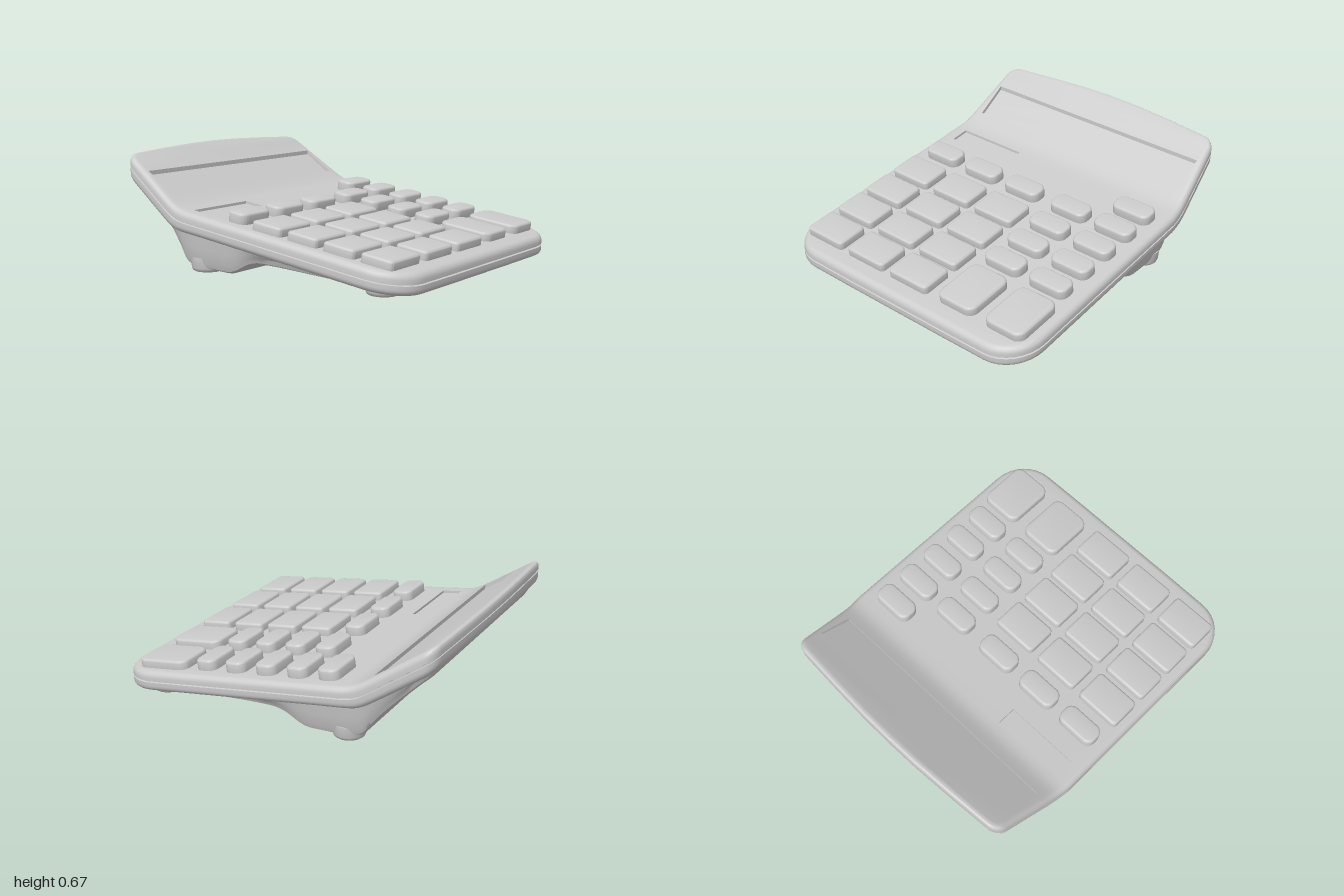
import * as THREE from 'three';
import { toCreasedNormals } from 'three/addons/utils/BufferGeometryUtils.js';

const SLOPE = 0.127, THICK = 0.12, ROUND = 0.035;
const { lerp, clamp, mapLinear } = THREE.MathUtils;

// height of the case's top surface: gentle slope, then a smooth bend up to the display
const topY = z => 0.307 - SLOPE * z + 0.54 * 0.025 * Math.log(1 + Math.exp((-z - 0.52) / 0.025));
// vertical thickness grows where the case is steep
const surfaceY = (z, t) => topY(z) - (THICK - t) * (1 + 0.2 / (1 + Math.exp((z + 0.52) / 0.03)));

// collects quads into a geometry with creased normals
function quadMesh(name, material, crease, fill) {
  const pos = [];
  fill((a, b, c, d) => { for (const p of [a, b, c, a, c, d]) pos.push(...p); });
  const geo = new THREE.BufferGeometry();
  geo.setAttribute('position', new THREE.Float32BufferAttribute(pos, 3));
  const mesh = new THREE.Mesh(toCreasedNormals(geo, crease), material);
  mesh.name = name;
  return mesh;
}

// right half of the plan outline, from front centre to rear centre
function halfOutline() {
  const pts = [[0, 0.987], [0.35, 0.987]];
  for (let i = 0; i <= 8; i++) {
    const a = i / 8 * Math.PI / 2;
    pts.push([0.64 + 0.22 * Math.sin(a), 0.75 + 0.235 * Math.cos(a)]);
  }
  for (const z of [0.4, 0, -0.33, -0.45, -0.47, -0.49, -0.51, -0.53, -0.55, -0.57, -0.59, -0.613, -0.7, -0.8])
    pts.push([z > -0.45 ? mapLinear(z, 0.75, -0.45, 0.86, 0.85) : mapLinear(z, -0.45, -0.88, 0.85, 0.79), z]);
  for (let i = 0; i <= 6; i++) {
    const a = i / 6 * Math.PI / 2;
    pts.push([0.70 + 0.09 * Math.cos(a), -0.88 - 0.075 * Math.sin(a)]);
  }
  pts.push([0.45, -0.972], [0.2, -0.985], [0, -0.988]);
  return pts;
}

function insetOutline(pts, d) {
  return pts.map(([x, z], i) => {
    const a = pts[i - 1] || [-pts[1][0], pts[1][1]];
    const b = pts[i + 1] || [-pts[i - 1][0], pts[i - 1][1]];
    const tx = b[0] - a[0], tz = b[1] - a[1], l = Math.hypot(tx, tz);
    return [Math.max(0, x + d * tz / l), z - d * tx / l];
  });
}

// sunken rectangles in the top: x range, z range, depth
const recesses = [[-0.757, 0.757, -0.8, -0.613, 0.025], [-0.757, -0.305, -0.45, -0.33, 0.015]];
const columns = [-2, -0.757, -0.305, 0.757, 2];

function buildCase(material) {
  const outline = halfOutline();
  // side profile as [inset, height]: rounded bottom, seam groove, rounded top
  const layers = [];
  for (let i = 0; i <= 5; i++) {
    const a = i / 5 * Math.PI / 2;
    layers.push([ROUND * (1 - Math.sin(a)), ROUND * (1 - Math.cos(a))]);
  }
  layers.push([0, 0.056], [0.012, 0.058], [0.012, 0.064], [0, 0.066]);
  for (let i = 0; i <= 5; i++) {
    const a = i / 5 * Math.PI / 2;
    layers.push([ROUND * (1 - Math.cos(a)), THICK - ROUND * (1 - Math.sin(a))]);
  }
  return quadMesh('case', material, 0.45, quad => {
    const rings = layers.map(([d, t]) => {
      const right = insetOutline(outline, d).map(([x, z]) => [x, surfaceY(z, t), z]);
      return [...right, ...right.slice(1, -1).reverse().map(([x, y, z]) => [-x, y, z])];
    });
    for (let k = 0; k + 1 < rings.length; k++) {
      const a = rings[k], b = rings[k + 1];
      a.forEach((p, i) => { const j = (i + 1) % a.length; quad(p, a[j], b[j], b[i]); });
    }
    // top and bottom skins, row by row
    const skin = (ring, recessed) => {
      const rows = ring.slice(0, outline.length);
      const depth = (i, c) => {
        if (!recessed || c < 0 || c > 3 || i < 0 || i + 1 >= rows.length) return 0;
        const z = (outline[i][1] + outline[i + 1][1]) / 2, x = (columns[c] + columns[c + 1]) / 2;
        const r = recesses.find(q => x > q[0] && x < q[1] && z > q[2] && z < q[3]);
        return r ? r[4] : 0;
      };
      const at = (i, c, drop) => [clamp(columns[c], -rows[i][0], rows[i][0]), rows[i][1] - drop, rows[i][2]];
      for (let i = 0; i + 1 < rows.length; i++) for (let c = 0; c < 4; c++) {
        const d = depth(i, c);
        const q = [at(i, c, d), at(i, c + 1, d), at(i + 1, c + 1, d), at(i + 1, c, d)];
        quad(...(recessed ? q : q.reverse()));
        // recess walls between cells of different depth
        const dl = depth(i, c - 1), df = depth(i - 1, c);
        if (dl !== d) quad(at(i, c, dl), at(i, c, d), at(i + 1, c, d), at(i + 1, c, dl));
        if (df !== d) quad(at(i, c, df), at(i, c + 1, df), at(i, c + 1, d), at(i, c, d));
      }
    };
    skin(rings[rings.length - 1], true);
    skin(rings[0], false);
  });
}

// underside housing: flat front, deep hump under the display, sloping back
function buildBase(material) {
  const profile = [[0.93, 0.09], [0.88, 0.073], [0.5, 0.088], [0.05, 0.108], [-0.02, 0.104], [-0.08, 0.085], [-0.15, 0.048],
    [-0.2, 0.032], [-0.3, 0.032], [-0.48, 0.042], [-0.53, 0.065], [-0.58, 0.13], [-0.65, 0.21], [-0.8, 0.36], [-0.9, 0.455], [-0.94, 0.52]];
  const curve = new THREE.CatmullRomCurve3(profile.map(([z, y]) => new THREE.Vector3(0, y, z)));
  return quadMesh('base', material, 0.6, quad => {
    const sections = curve.getPoints(75).map(({ y, z }) => {
      const top = surfaceY(z, 0.02), h = Math.max(0.002, top - y), r = Math.min(0.04, h * 0.5);
      let w = z > -0.45 ? 0.79 : mapLinear(z, -0.45, -0.94, 0.79, 0.69);
      if (z > 0.78) w -= 0.1 * (1 - Math.sqrt(Math.max(0, 1 - ((z - 0.78) / 0.151) ** 2)));
      const half = [[w, top], [w - 0.015, lerp(top, y, 0.45)], [w - 0.03, y + r], [w - 0.042, y + r * 0.3], [w - 0.07, y]];
      return [...half.map(p => [-p[0], p[1], z]), ...half.reverse().map(p => [p[0], p[1], z])];
    });
    for (let i = 0; i + 1 < sections.length; i++) for (let j = 0; j < 9; j++)
      quad(sections[i][j], sections[i + 1][j], sections[i + 1][j + 1], sections[i][j + 1]);
  });
}

// rounded key with a bevelled top, base at y = 0
function keyGeometry(w, d, r, h) {
  const bevel = 0.014, x = w / 2 - bevel, y = d / 2 - bevel;
  const s = new THREE.Shape();
  s.moveTo(-x + r, -y);
  for (const [cx, cy, a] of [[x - r, -y + r, -0.5], [x - r, y - r, 0], [-x + r, y - r, 0.5], [-x + r, -y + r, 1]])
    s.absarc(cx, cy, r, a * Math.PI, (a + 0.5) * Math.PI, false);
  const sunk = 0.02;
  const geo = new THREE.ExtrudeGeometry(s, {
    depth: h + sunk - 2 * bevel, bevelEnabled: true, bevelSize: bevel, bevelThickness: bevel, bevelSegments: 3, curveSegments: 6
  });
  geo.translate(0, 0, bevel - sunk).rotateX(-Math.PI / 2);
  return toCreasedNormals(geo, 0.6);
}

export function createModel() {
  const grey = new THREE.MeshStandardMaterial({ color: 0xcccccc, side: THREE.DoubleSide });
  const model = new THREE.Group();
  model.name = 'calculator';
  const body = new THREE.Group();
  body.name = 'body';
  // rests slightly turned and leaning
  body.rotation.set(0, 0.0175, -0.022);
  model.add(body);
  body.add(buildCase(grey), buildBase(grey));

  const addKeys = (name, geo, places) => places.forEach(([x, z]) => {
    const key = new THREE.Mesh(geo, grey);
    key.name = name;
    key.position.set(x, topY(z), z);
    key.rotation.x = Math.atan(SLOPE);
    body.add(key);
  });
  const grid = (xs, zs) => xs.flatMap(x => zs.map(z => [x, z]));

  // number pad, small function keys and two tall keys
  addKeys('numberKey', keyGeometry(0.28, 0.197, 0.012, 0.05), grid([-0.654, -0.325, 0.003], [0.085, 0.32, 0.552, 0.785]));
  addKeys('functionKey', keyGeometry(0.25, 0.127, 0.035, 0.06), [
    ...grid([-0.648, -0.333, -0.013], [-0.146]),
    ...grid([0.337, 0.65], [-0.146, 0.05, 0.245, 0.436]),
    [0.645, -0.335]
  ]);
  addKeys('tallKey', keyGeometry(0.255, 0.325, 0.04, 0.05), grid([0.34, 0.67], [0.715]));

  // feet with a ringed sole
  const sole = [[0, 0.012], [0.045, 0.012], [0.05, 0.004], [0.056, 0], [0.078, 0], [0.086, 0.006], [0.092, 0.02], [0.095, 0.08], [0, 0.08]];
  const footGeo = toCreasedNormals(new THREE.LatheGeometry(sole.map(p => new THREE.Vector2(...p)), 32), 0.6);
  for (const side of [-1, 1]) for (const [name, z, y] of [['frontFoot', 0.76, 0.045], ['rearFoot', -0.42, 0.017]]) {
    const foot = new THREE.Mesh(footGeo, grey);
    foot.name = name;
    foot.position.set(side * 0.675, y, z);
    body.add(foot);
  }
  return model;
}
